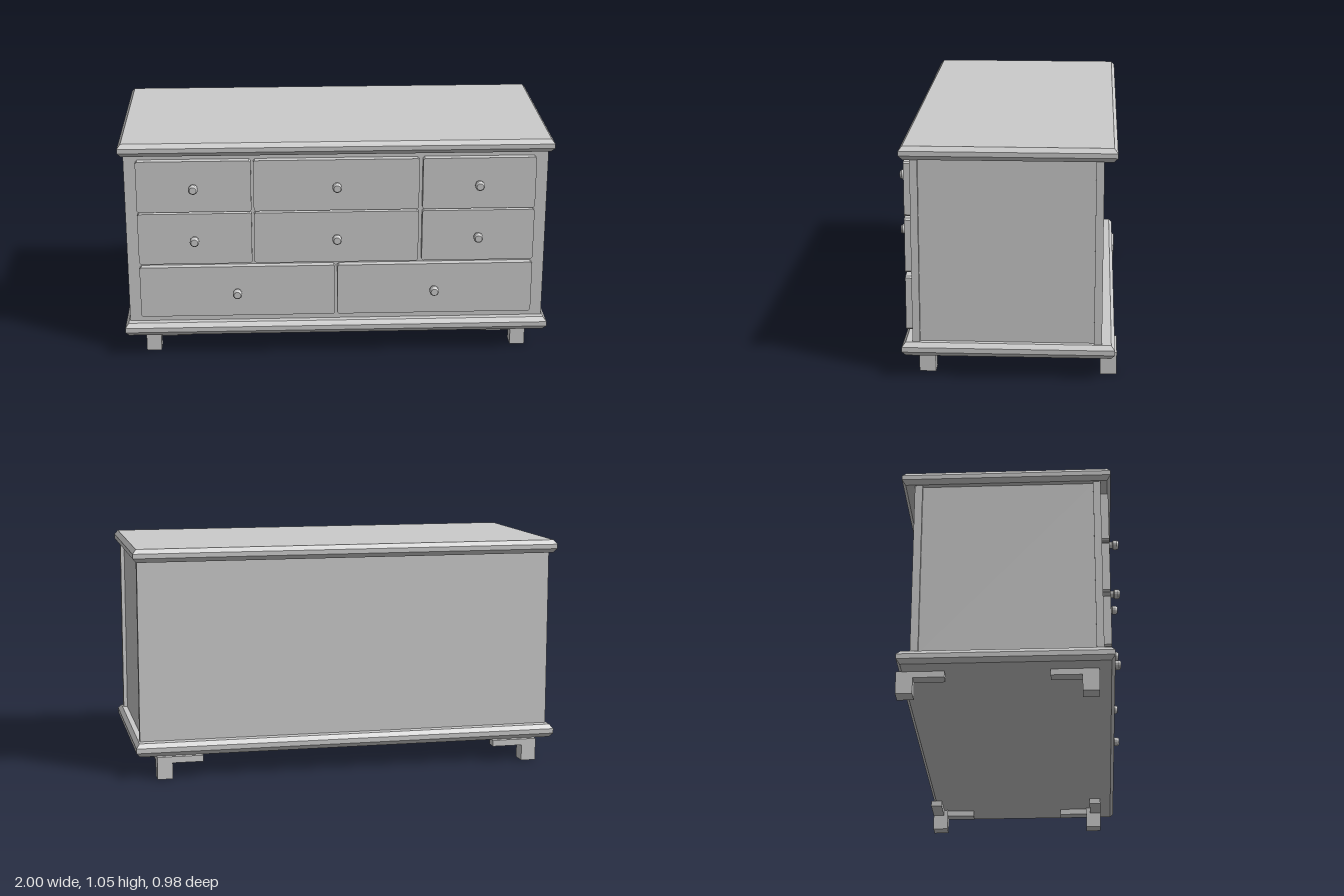
import * as THREE from 'three';

const material = new THREE.MeshStandardMaterial({ color: 0xcccccc, flatShading: true });

export function createModel() {
  const chest = new THREE.Group();
  chest.name = 'chestOfDrawers';

  const add = (name, geometry, parent = chest) => {
    const mesh = new THREE.Mesh(geometry, material);
    mesh.name = name;
    parent.add(mesh);
    return mesh;
  };

  // Box given by its extents on each axis
  const box = (name, x0, x1, y0, y1, z0, z1, parent) => {
    const mesh = add(name, new THREE.BoxGeometry(Math.abs(x1 - x0), y1 - y0, Math.abs(z1 - z0)), parent);
    mesh.position.set((x0 + x1) / 2, (y0 + y1) / 2, (z0 + z1) / 2);
    return mesh;
  };

  // Rectangle with clipped corners
  const clippedRect = (w, h, c) => {
    const x = w / 2, y = h / 2;
    return new THREE.Shape([
      [-x + c, -y], [x - c, -y], [x, -y + c], [x, y - c],
      [x - c, y], [-x + c, y], [-x, y - c], [-x, -y + c],
    ].map(([a, b]) => new THREE.Vector2(a, b)));
  };

  // Top and base boards with chamfered edges all round
  const board = (name, y0, y1) => {
    const inset = 0.016, bevel = 0.02;
    const w = 1 - inset, d = 0.469 - inset;
    const shape = new THREE.Shape([
      new THREE.Vector2(-w, -d), new THREE.Vector2(w, -d),
      new THREE.Vector2(w, d), new THREE.Vector2(-w, d),
    ]);
    const geometry = new THREE.ExtrudeGeometry(shape, {
      depth: y1 - y0 - 2 * bevel, bevelEnabled: true,
      bevelThickness: bevel, bevelSize: inset, bevelSegments: 1,
    });
    geometry.rotateX(-Math.PI / 2);
    add(name, geometry).position.set(0, y0 + bevel, -0.01);
  };
  board('topBoard', 0.994, 1.055);
  board('baseBoard', 0.103, 0.165);

  // Carcass: recessed side panels between full-width front and back frames
  box('carcass', -0.96, 0.96, 0.15, 1.0, -0.4, 0.39);
  box('frontFrame', -0.978, 0.978, 0.15, 1.0, 0.38, 0.413);
  box('backPanel', -0.978, 0.978, 0.15, 1.0, -0.422, -0.387);

  // Knob: stem with a wider, bevelled head
  const knobGeometry = new THREE.LatheGeometry([
    [0.016, 0], [0.016, 0.017], [0.022, 0.021], [0.022, 0.037], [0.016, 0.046], [0, 0.046],
  ].map(([r, y]) => new THREE.Vector2(r, y)), 16);
  knobGeometry.rotateX(Math.PI / 2);

  // Drawers: [bottom, top, knob height, [left, right, knob x]...]
  const threeWide = [[-0.922, -0.395, -0.66], [-0.384, 0.38, 0], [0.397, 0.92, 0.657]];
  const twoWide = [[-0.922, -0.008, -0.467], [0.002, 0.92, 0.457]];
  const rows = [
    [0.723, 0.969, 0.843, threeWide],
    [0.466, 0.714, 0.587, threeWide],
    [0.2, 0.448, 0.321, twoWide],
  ];
  for (const [y0, y1, knobY, columns] of rows) {
    for (const [x0, x1, knobX] of columns) {
      const drawer = new THREE.Group();
      drawer.name = 'drawer';
      chest.add(drawer);
      const front = add('drawerFront', new THREE.ExtrudeGeometry(
        clippedRect(x1 - x0, y1 - y0, 0.008), { depth: 0.037, bevelEnabled: false }), drawer);
      front.position.set((x0 + x1) / 2, (y0 + y1) / 2, 0.41);
      add('knob', knobGeometry, drawer).position.set(knobX, knobY, 0.447);
    }
  }

  // Bracket feet: corner leg with an arm along each board edge
  const foot = (name, sx, zOuter, sz) => {
    const group = new THREE.Group();
    group.name = name;
    chest.add(group);
    const at = (d) => zOuter - sz * d;
    box('leg', sx * 0.907, sx * 0.837, 0, 0.104, at(0), at(0.074), group);
    box('sideArm', sx * 0.907, sx * 0.852, 0.075, 0.104, at(0.074), at(0.211), group);
    box('lengthArm', sx * 0.837, sx * 0.695, 0.075, 0.104, at(0), at(0.055), group);
  };
  for (const sx of [-1, 1]) {
    foot('frontFoot', sx, 0.391, 1);
    foot('backFoot', sx, -0.489, -1);
  }

  return chest;
}
